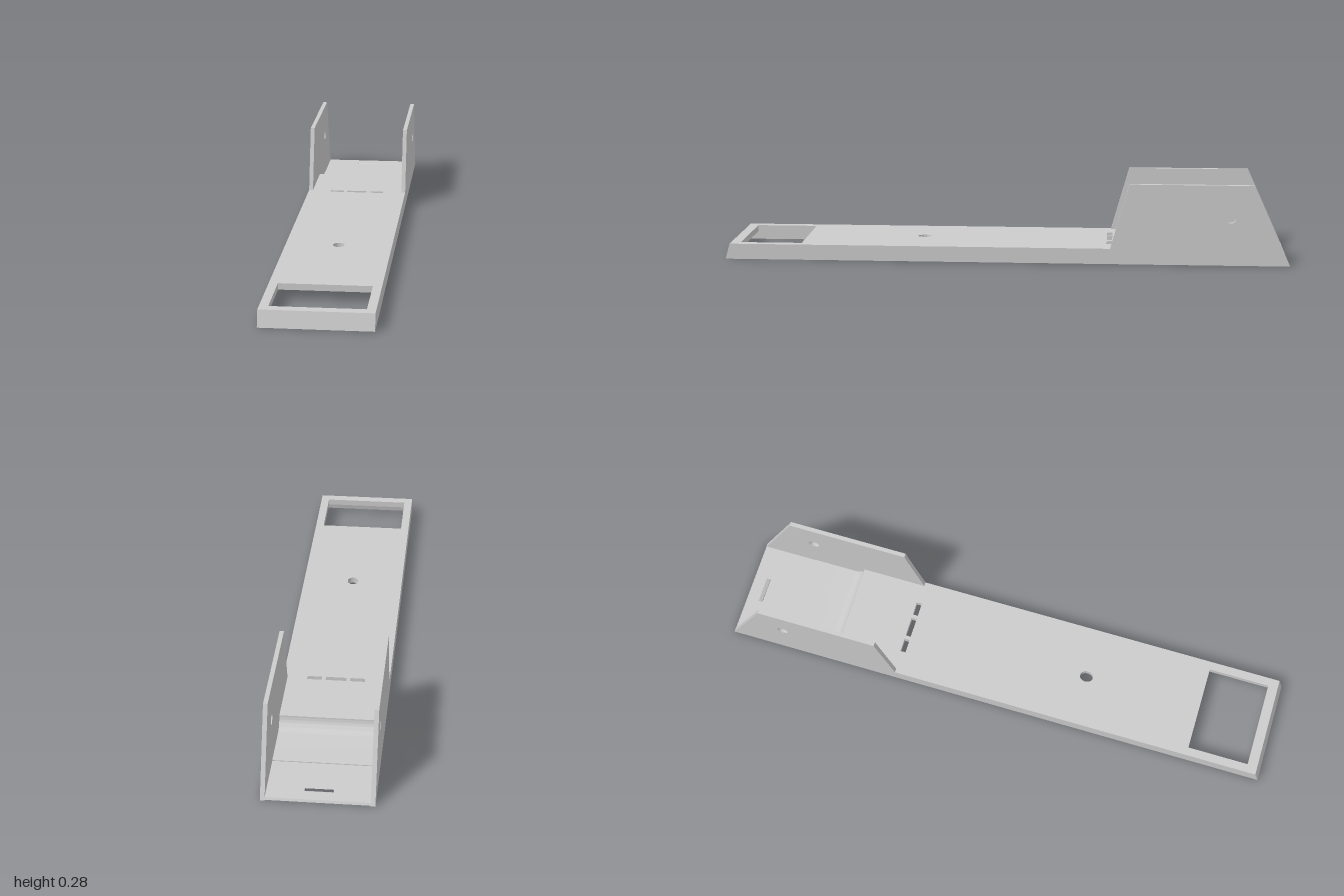
import * as THREE from 'three';
import { toCreasedNormals } from 'three/addons/utils/BufferGeometryUtils.js';

const W = 0.185, IN = 0.17, TOP = 0.055;
const material = new THREE.MeshStandardMaterial({ color: 0xcccccc });

const polygon = (pts) => new THREE.Shape(pts.map(([a, b]) => new THREE.Vector2(a, b)));
const rect = (x0, x1, z0, z1) => [[x0, z0], [x1, z0], [x1, z1], [x0, z1]];

function ellipseHole(a, b, ra, rb) {
  const path = new THREE.Path();
  path.absellipse(a, b, ra, rb, 0, Math.PI * 2, true);
  return path;
}

function addMesh(group, name, geometry) {
  const mesh = new THREE.Mesh(toCreasedNormals(geometry, 0.5), material);
  mesh.name = name;
  group.add(mesh);
}

// Profile drawn in (z, y), extruded across x from x0 to x1
function addAcross(group, name, shape, x0, x1) {
  const g = new THREE.ExtrudeGeometry(shape, { depth: x1 - x0, bevelEnabled: false, curveSegments: 16 });
  g.rotateY(-Math.PI / 2).translate(x1, 0, 0);
  addMesh(group, name, g);
}

export function createModel() {
  const model = new THREE.Group();
  model.name = 'channelBracket';

  // Side walls: low rail in front, tall cheek with a pivot hole at the back
  for (const [name, x0] of [['leftWall', IN], ['rightWall', -W]]) {
    const wall = polygon([[1, 0], [0.985, TOP], [-0.37, TOP], [-0.435, 0.285], [-0.87, 0.285], [-1, 0]]);
    wall.holes.push(ellipseHole(-0.79, 0.17, 0.019, 0.019));
    addAcross(model, name, wall, x0, x0 + W - IN);
  }

  // Sloping front lip
  addAcross(model, 'frontLip', polygon([[1, 0], [0.985, TOP], [0.967, TOP], [0.982, 0]]), -IN, IN);

  // Deck with window, round hole and three slots
  const deck = polygon(rect(-IN, IN, -0.4, 0.967));
  deck.holes.push(ellipseHole(0, 0.305, 0.02, 0.024));
  const cutouts = [
    rect(-0.155, 0.155, 0.73, 0.95),
    rect(-0.1, -0.05, -0.376, -0.357),
    rect(-0.036, 0.036, -0.376, -0.357),
    rect(0.05, 0.1, -0.376, -0.357),
  ];
  for (const pts of cutouts) deck.holes.push(new THREE.Path(polygon(pts).getPoints()));
  const deckGeometry = new THREE.ExtrudeGeometry(deck, { depth: 0.022, bevelEnabled: false, curveSegments: 20 });
  deckGeometry.rotateX(Math.PI / 2).translate(0, TOP, 0);
  addMesh(model, 'deck', deckGeometry);

  // Thin rear deck that curves down into the cradle floor
  const cradle = new THREE.Shape();
  cradle.moveTo(-0.4, TOP);
  cradle.lineTo(-0.603, TOP);
  cradle.absarc(-0.645, TOP, 0.042, 0, -Math.PI / 2, true);
  cradle.lineTo(-0.8, 0.013);
  cradle.lineTo(-0.8, 0);
  cradle.lineTo(-0.645, 0);
  cradle.absarc(-0.645, 0.055, 0.055, -Math.PI / 2, -0.22, false);
  cradle.lineTo(-0.4, 0.043);
  cradle.closePath();
  addAcross(model, 'cradle', cradle, -IN, IN);

  // Slightly thinner rear floor, split around a slanted slot
  const lo = 0.002, hi = 0.01;
  addAcross(model, 'floorFront', polygon([[-0.8, lo], [-0.8, hi], [-0.937, hi], [-0.925, lo]]), -IN, IN);
  addAcross(model, 'floorBack', polygon([[-0.94, lo], [-0.952, hi], [-0.995, hi], [-0.999, lo]]), -IN, IN);
  const filler = polygon([[-0.925, lo], [-0.937, hi], [-0.952, hi], [-0.94, lo]]);
  addAcross(model, 'floorSideLeft', filler, 0.047, IN);
  addAcross(model, 'floorSideRight', filler, -IN, -0.047);

  return model;
}
